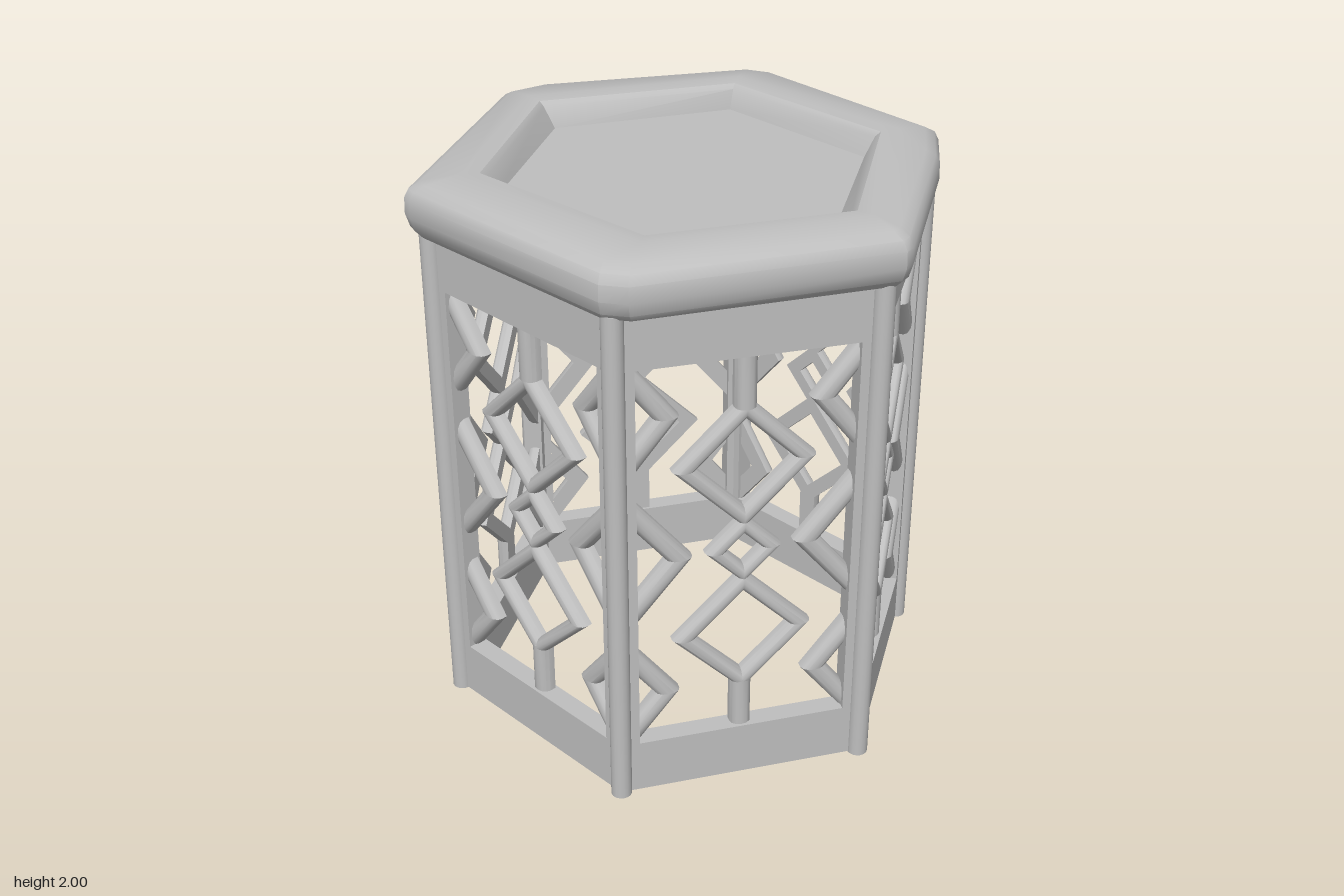
import * as THREE from 'three';
import { toCreasedNormals } from 'three/addons/utils/BufferGeometryUtils.js';

const R = 0.85;          // corner post circle
const FACE = 0.742;      // distance from axis to the outer panel face
const DEPTH = 0.07;      // panel thickness

// Bar section: flat back, rounded front, from inner to outer half-width
function barSection(inner, outer) {
  const back = -0.027, shoulder = -0.004, rise = 0.028;
  const mid = (inner + outer) / 2, half = (outer - inner) / 2;
  const pts = [[inner, back], [outer, back]];
  for (let i = 0; i <= 6; i++) {
    const a = (i / 6) * Math.PI;
    pts.push([mid + half * Math.cos(a), shoulder + rise * Math.sin(a)]);
  }
  pts.push([inner, back]);
  return pts.map(([x, y]) => new THREE.Vector2(x, y));
}

// Mitred diamond ring (or its half pointing to +x) facing +z
function diamond(inner, outer, stretch, half = false) {
  const g = new THREE.LatheGeometry(barSection(inner, outer), half ? 2 : 4, 0, half ? Math.PI : Math.PI * 2);
  g.rotateX(Math.PI / 2).scale(1, stretch, 1);
  return toCreasedNormals(g, 0.65);
}

// Straight upright bar facing +z
function stem(length) {
  const shape = new THREE.Shape(barSection(-0.036, 0.036));
  const g = new THREE.ExtrudeGeometry(shape, { depth: length, bevelEnabled: false });
  g.rotateX(Math.PI / 2);        // section depth now along +z, length along -y
  return toCreasedNormals(g, 0.65);
}

function rectangle(path, x0, y0, x1, y1) {
  return path.moveTo(x0, y0).lineTo(x1, y0).lineTo(x1, y1).lineTo(x0, y1).closePath();
}

function createPanel(material) {
  const panel = new THREE.Group();
  const add = (name, geometry, x, y, z, turn = 0) => {
    const m = new THREE.Mesh(geometry, material);
    m.name = name;
    m.position.set(x, y, z);
    m.rotation.z = turn;
    panel.add(m);
  };

  // Rails and stiles around the opening
  const outline = rectangle(new THREE.Shape(), -0.425, 0.003, 0.425, 1.82);
  outline.holes.push(rectangle(new THREE.Path(), -0.36, 0.2, 0.36, 1.62));
  add('panelFrame', new THREE.ExtrudeGeometry(outline, { depth: DEPTH, bevelEnabled: false }), 0, 0, FACE - DEPTH);

  // Central column of diamonds
  const z = FACE - 0.033;
  add('upperStem', stem(0.2), 0, 1.625, z);
  add('lowerStem', stem(0.2), 0, 0.39, z);
  const large = diamond(0.162, 0.238, 1);
  add('upperDiamond', large, 0, 1.228, z);
  add('lowerDiamond', large, 0, 0.58, z);
  add('smallDiamond', diamond(0.06, 0.128, 1), 0, 0.905, z);

  // Half diamonds along both stiles
  const smallHalf = diamond(0.06, 0.145, 1.28, true);
  const largeHalf = diamond(0.1, 0.188, 1.22, true);
  for (const side of [-1, 1]) {
    const turn = side > 0 ? Math.PI : 0;
    add('upperHalfDiamond', smallHalf, side * 0.358, 1.43, z, turn);
    add('middleHalfDiamond', largeHalf, side * 0.358, 0.905, z, turn);
    add('lowerHalfDiamond', smallHalf, side * 0.358, 0.38, z, turn);
  }
  return panel;
}

// Slightly uneven hexagonal top: two points per corner, skinned ring by ring
function createTop(material) {
  const outer = [[0.91, -0.03], [0.83, 0.18], [0.5, 0.785], [0.47, 0.81], [-0.39, 0.83], [-0.47, 0.79],
    [-0.91, 0.05], [-0.92, 0], [-0.46, -0.79], [-0.32, -0.835], [0.47, -0.8], [0.545, -0.745]];
  const twice = (pts) => pts.flatMap((p) => [p, p]);
  const rim = twice([[0.665, 0], [0.37, 0.59], [-0.28, 0.6], [-0.655, 0.01], [-0.35, -0.575], [0.34, -0.575]]);
  const floor = twice([[0.63, 0], [0.33, 0.55], [-0.24, 0.545], [-0.62, 0.005], [-0.32, -0.54], [0.325, -0.56]]);
  const rings = [
    [outer, 0, 1.81], [outer, 0.96, 1.81], [outer, 0.985, 1.835], [outer, 1, 1.88], [outer, 0.998, 1.935],
    [outer, 0.98, 1.965], [outer, 0.94, 1.985], [rim, 1.12, 2], [rim, 1.03, 1.995], [rim, 1, 1.98],
    [floor, 1, 1.91], [floor, 0, 1.91],
  ];
  const n = outer.length, position = [], index = [];
  rings.forEach(([pts, s, y], k) => {
    pts.forEach(([x, z], j) => {
      position.push(x * s, y, z * s);
      if (k === rings.length - 1) return;
      const a = k * n + j, b = k * n + (j + 1) % n;
      index.push(a, a + n, b, b, a + n, b + n);
    });
  });
  const g = new THREE.BufferGeometry();
  g.setAttribute('position', new THREE.Float32BufferAttribute(position, 3));
  g.setIndex(index);
  const top = new THREE.Mesh(toCreasedNormals(g, 0.6), material);
  top.name = 'tableTop';
  return top;
}

export function createModel() {
  const material = new THREE.MeshStandardMaterial({ color: 0xbfbfbf });
  material.name = 'plainGrey';

  const model = new THREE.Group();
  model.name = 'hexagonalSideTable';
  const base = new THREE.Group();
  base.name = 'latticeBase';
  base.position.set(0.003, 0, 0.012);

  // Six panels with a round post at each corner
  const postGeometry = new THREE.CylinderGeometry(0.036, 0.036, 1.82, 16);
  for (let i = 0; i < 6; i++) {
    const angle = (i * Math.PI) / 3;
    const panel = createPanel(material);
    panel.name = 'latticePanel' + (i + 1);
    panel.rotation.y = angle;
    base.add(panel);

    const post = new THREE.Mesh(postGeometry, material);
    post.name = 'cornerPost' + (i + 1);
    post.position.set(R * Math.cos(angle), 0.91, R * Math.sin(angle));
    base.add(post);
  }
  model.add(base, createTop(material));
  return model;
}
